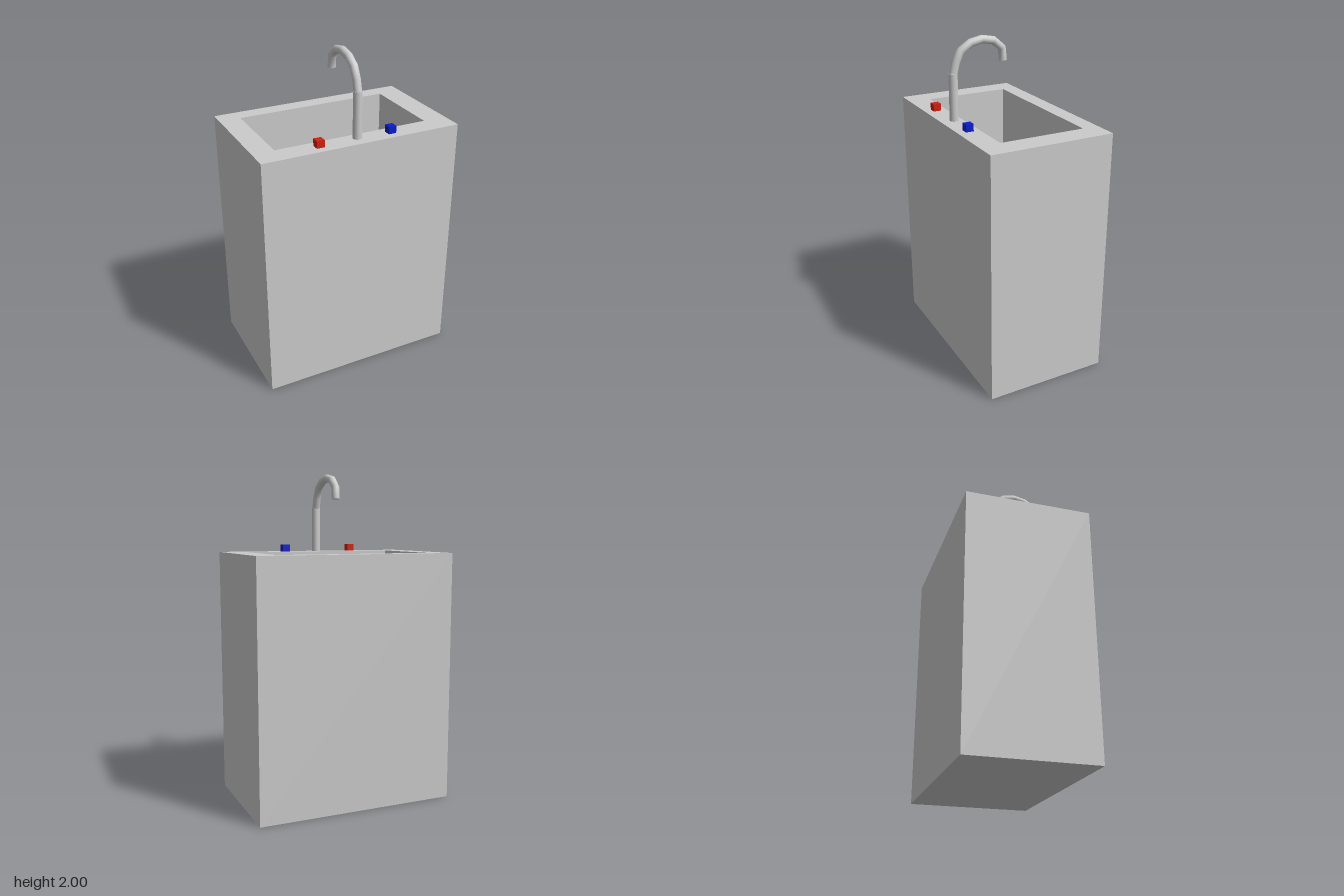
import * as THREE from 'three';

const grey = () => new THREE.MeshStandardMaterial({ color: 0xcccccc });
const paint = (color) => new THREE.MeshStandardMaterial({ color });

const W = 1.23, D = 0.757, H = 1.525;                   // cabinet
const bowl = { x0: -0.485, x1: 0.468, z0: -0.28, z1: 0.245, depth: 0.38 };
const spoutX = -0.006, stemZ = 0.296;

function add(parent, name, geometry, material) {
  const mesh = new THREE.Mesh(geometry, material);
  mesh.name = name;
  parent.add(mesh);
  return mesh;
}

// Box lacking some faces (0 to 5: +x -x +y -y +z -z), optionally facing inward
function openBox(w, h, d, dropped, inward = false) {
  const geometry = new THREE.BoxGeometry(w, h, d);
  let index = [...geometry.index.array].filter((_, i) => !dropped.includes(Math.floor(i / 6)));
  if (inward) index.reverse();
  geometry.setIndex(index);
  geometry.clearGroups();
  geometry.computeVertexNormals();
  return geometry;
}

// Rectangle in x and z, drawn as a shape whose y is -z
function rectangle(Type, x0, x1, z0, z1) {
  return new Type([[x0, -z1], [x1, -z1], [x1, -z0], [x0, -z0]].map(([x, y]) => new THREE.Vector2(x, y)));
}

// Flat upward-facing plate with one hole
function plate(outline, hole, y) {
  outline.holes.push(hole);
  return new THREE.ShapeGeometry(outline, 12).rotateX(-Math.PI / 2).translate(0, y, 0);
}

export function createModel() {
  const model = new THREE.Group();
  model.name = 'sink';
  const { x0, x1, z0, z1, depth } = bowl;
  const floorY = H - depth;

  // Cabinet shell and rim around the bowl
  add(model, 'cabinet', openBox(W, H, D, [2]), grey()).position.y = H / 2;
  add(model, 'rim', plate(rectangle(THREE.Shape, -W / 2, W / 2, -D / 2, D / 2),
    rectangle(THREE.Path, x0, x1, z0, z1), H), grey());

  // Recessed bowl
  add(model, 'bowlWalls', openBox(x1 - x0, depth, z1 - z0, [2, 3], true), grey())
    .position.set((x0 + x1) / 2, H - depth / 2, (z0 + z1) / 2);
  const drainHole = new THREE.Path().absarc(0, 0, 0.034, 0, Math.PI * 2, true);
  add(model, 'bowlFloor', plate(rectangle(THREE.Shape, x0, x1, z0, z1), drainHole, floorY), grey());

  // Drain ring
  const drain = add(model, 'drainRing', new THREE.TorusGeometry(0.044, 0.011, 8, 32), paint(0x0a0a0a));
  drain.rotation.x = Math.PI / 2;
  drain.position.y = floorY;

  // Faucet: straight stem, faceted arch and closed outlet
  const faucet = new THREE.Group();
  faucet.name = 'faucet';
  faucet.position.x = spoutX;
  model.add(faucet);
  const stemTop = 1.8;
  add(faucet, 'stem', new THREE.CylinderGeometry(0.026, 0.026, stemTop - H, 16), grey())
    .position.set(0, (H + stemTop) / 2, stemZ);
  const path = new THREE.CatmullRomCurve3([
    [1.79, stemZ], [1.878, 0.272], [1.934, 0.236], [1.976, 0.14],
    [1.966, 0.042], [1.92, -0.015], [1.846, -0.022],
  ].map(([y, z]) => new THREE.Vector3(0, y, z)));
  add(faucet, 'arch', new THREE.TubeGeometry(path, 7, 0.024, 16), grey());
  const outlet = add(faucet, 'outlet', new THREE.CircleGeometry(0.024, 16), grey());
  outlet.position.copy(path.getPoint(1));
  outlet.quaternion.setFromUnitVectors(new THREE.Vector3(0, 0, 1), path.getTangent(1));

  // Hot and cold knobs
  for (const [name, x, color] of [['hotKnob', -0.247, 0xd02010], ['coldKnob', 0.203, 0x0a1ccc]]) {
    add(model, name, new THREE.BoxGeometry(0.047, 0.047, 0.047), paint(color)).position.set(x, 1.545, 0.307);
  }

  return model;
}
